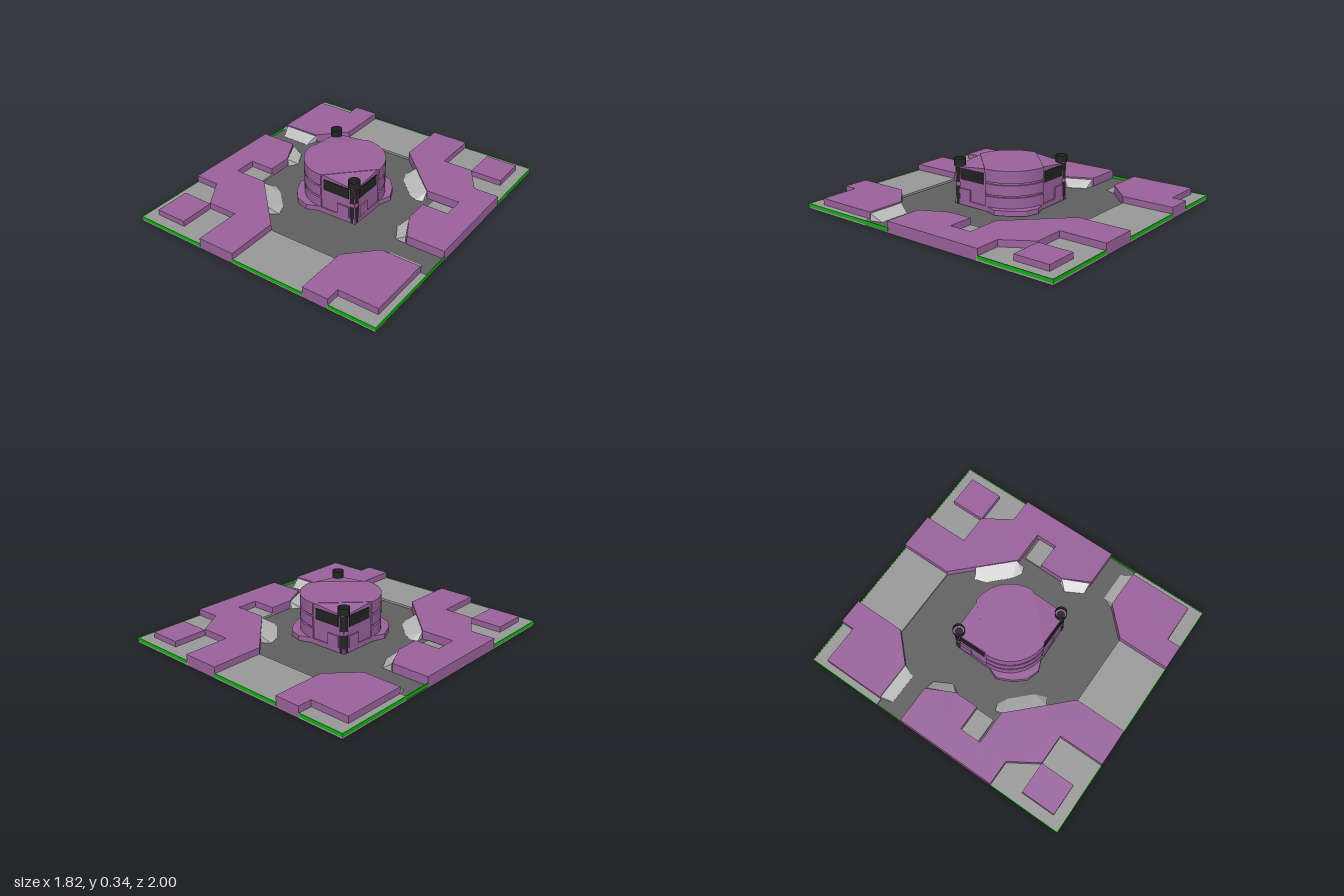
import * as THREE from 'three';
import { ConvexGeometry } from 'three/addons/geometries/ConvexGeometry.js';

const mat = (color, extra = {}) => new THREE.MeshStandardMaterial({ color, ...extra });
const purple = mat(0x9a629c), grey = mat(0x999999), dark = mat(0x606060), light = mat(0xbbbbbb, { flatShading: true });
const green = mat(0x14b014), black = mat(0x222222), tube = mat(0x222222, { side: THREE.DoubleSide });
const facet = mat(0x9a629c, { flatShading: true });

function add(parent, name, geometry, material) {
  const mesh = new THREE.Mesh(geometry, material);
  mesh.name = name;
  parent.add(mesh);
  return mesh;
}

// Prism over an [x, z] outline between heights y0 and y1
function prism(outline, y0, y1) {
  const shape = new THREE.Shape(outline.map(([x, z]) => new THREE.Vector2(x, -z)));
  return new THREE.ExtrudeGeometry(shape, { depth: y1 - y0, bevelEnabled: false })
    .rotateX(-Math.PI / 2).translate(0, y0, 0);
}

function block(x0, x1, y0, y1, z0, z1) {
  return new THREE.BoxGeometry(x1 - x0, y1 - y0, z1 - z0)
    .translate((x0 + x1) / 2, (y0 + y1) / 2, (z0 + z1) / 2);
}

// Wedge sloping from a raised outer edge down to the floor
function ramp(outer, inner) {
  const pts = [];
  outer.forEach(([x, z]) => pts.push(new THREE.Vector3(x, 0.07, z), new THREE.Vector3(x, 0.018, z)));
  inner.forEach(([x, z]) => pts.push(new THREE.Vector3(x, 0.021, z), new THREE.Vector3(x, 0.015, z)));
  return new ConvexGeometry(pts);
}

// Points on a circle around the turret axis, angles in degrees from +x toward +z
function arc(radius, from, to, steps = 16) {
  return Array.from({ length: steps + 1 }, (_, i) => {
    const a = THREE.MathUtils.degToRad(from + (to - from) * i / steps);
    return [radius * Math.cos(a), radius * Math.sin(a)];
  });
}

const W = 0.905, D = 0.998;

// Half of the deck; the other half is the same turned by 180 degrees
function deckHalf() {
  const g = new THREE.Group();

  // Grey floor panels
  [[-0.125, 0.405, 0.63, D], [-W, -0.38, 0.47, D], [0.58, W, 0.45, D], [-0.735, -0.545, 0.105, 0.25]]
    .forEach(([x0, x1, z0, z1]) => add(g, 'floorPanel', block(x0, x1, 0.004, 0.035, z0, z1), grey));

  // Raised wall blocks
  add(g, 'wideWallBlock', prism([
    [-W, 0.48], [-0.73, 0.48], [-0.605, 0.675], [-0.39, 0.675], [-0.39, D], [-0.125, D], [-0.125, 0.63],
    [-0.485, 0.27], [-0.725, 0.27], [-0.725, 0.115], [-0.545, 0.115], [-0.545, -0.06], [-0.64, -0.245], [-W, -0.245],
  ], 0.006, 0.08), purple);
  add(g, 'cornerWallBlock', prism([
    [0.405, D], [0.405, 0.63], [0.585, 0.45], [0.86, 0.45], [0.86, 0.9], [0.585, 0.9], [0.585, D],
  ], 0.006, 0.08), purple);
  add(g, 'cornerPad', block(-0.83, -0.605, 0.034, 0.074, 0.675, 0.92), purple);

  // Light ramps at the wall edges
  add(g, 'diagonalRamp', ramp([[-0.27, 0.485], [-0.48, 0.275]],
    [[-0.485, 0.22], [-0.44, 0.205], [-0.37, 0.24], [-0.24, 0.37], [-0.21, 0.45]]), light);
  add(g, 'sideRamp', ramp([[0.545, 0.06], [0.63, 0.24]], [[0.53, 0.06], [0.495, 0.12], [0.56, 0.24]]), light);
  add(g, 'doorRamp', ramp([[0.585, 0.45], [0.855, 0.45]], [[0.61, 0.375], [0.83, 0.375]]), light);

  // Green rim strips
  [[-W, -0.39], [-0.125, 0.405], [0.585, W]]
    .forEach(([x0, x1]) => add(g, 'frontRim', block(x0, x1, 0.015, 0.038, 0.994, 1), green));
  [[0.24, 1], [-1, -0.48]]
    .forEach(([z0, z1]) => add(g, 'sideRim', block(0.902, 0.908, 0.015, 0.038, z0, z1), green));
  return g;
}

// Half of the turret: one squared corner with windows and post, one rounded side
function turretHalf() {
  const g = new THREE.Group();

  // Squared corner with a sloping top
  const corner = [[0.262, 0, 0.308], [0, 0.262, 0.308], [0.262, 0.262, 0.282]];
  add(g, 'turretCorner', new ConvexGeometry(corner.flatMap(([x, z, y]) =>
    [new THREE.Vector3(x, y, z), new THREE.Vector3(x, 0.05, z)])), facet);
  add(g, 'frontWindow', block(0.02, 0.215, 0.2, 0.277, 0.25, 0.266), black);
  add(g, 'sideWindow', block(0.25, 0.266, 0.2, 0.277, 0.02, 0.215), black);
  add(g, 'frontBox', block(0.13, 0.22, 0.06, 0.14, 0.25, 0.272), purple);
  add(g, 'sideBox', block(0.25, 0.272, 0.06, 0.14, 0.13, 0.22), purple);

  // Bands around the rounded side
  [[0.06, 0.13], [0.143, 0.213], [0.228, 0.297]].forEach(([y0, y1]) =>
    add(g, 'turretBand', prism([...arc(0.272, -90, 0), ...arc(0.24, 0, -90)], y0, y1), purple));

  // Corner post with an open cap
  const post = new THREE.Group();
  post.name = 'cornerPost';
  post.position.set(0.24, 0, 0.24);
  add(post, 'postShaft', new THREE.CylinderGeometry(0.028, 0.028, 0.265, 16).translate(0, 0.16, 0), black);
  add(post, 'postRing', new THREE.CylinderGeometry(0.03, 0.03, 0.025, 16).translate(0, 0.165, 0), purple);
  add(post, 'postCap', new THREE.CylinderGeometry(0.04, 0.04, 0.052, 16, 1, true).translate(0, 0.312, 0), tube);
  add(post, 'capFloor', new THREE.CylinderGeometry(0.04, 0.04, 0.006, 16).translate(0, 0.289, 0), purple);
  g.add(post);
  return g;
}

export function createModel() {
  const model = new THREE.Group();
  model.name = 'deckWithTurret';

  // Dark base plate that shows as the centre floor
  add(model, 'basePlate', block(-0.903, 0.903, 0, 0.02, -0.996, 0.996), dark);

  // Turret core, roof and skirt
  const turret = new THREE.Group();
  turret.name = 'turret';
  const core = r => [...arc(r, -90, 0), ...arc(r, 90, 180)];
  add(turret, 'turretCore', prism(core(0.258), 0.03, 0.298), purple);
  add(turret, 'turretRoof', prism(core(0.272), 0.297, 0.31), purple);
  const side = [[0.02, -0.272], [0.1, -0.303], [0.19, -0.275], [0.255, -0.2], [0.302, -0.1], [0.272, -0.02], [0.265, 0.265]];
  add(turret, 'turretSkirt', prism([...side, ...side.map(([x, z]) => [-x, -z])], 0.025, 0.06), purple);
  model.add(turret);

  // Two matching halves, half a turn apart
  [0, Math.PI].forEach(angle => {
    const deck = deckHalf(), half = turretHalf();
    deck.name = 'deckHalf';
    half.name = 'turretHalf';
    deck.rotation.y = half.rotation.y = angle;
    model.add(deck);
    turret.add(half);
  });
  return model;
}
